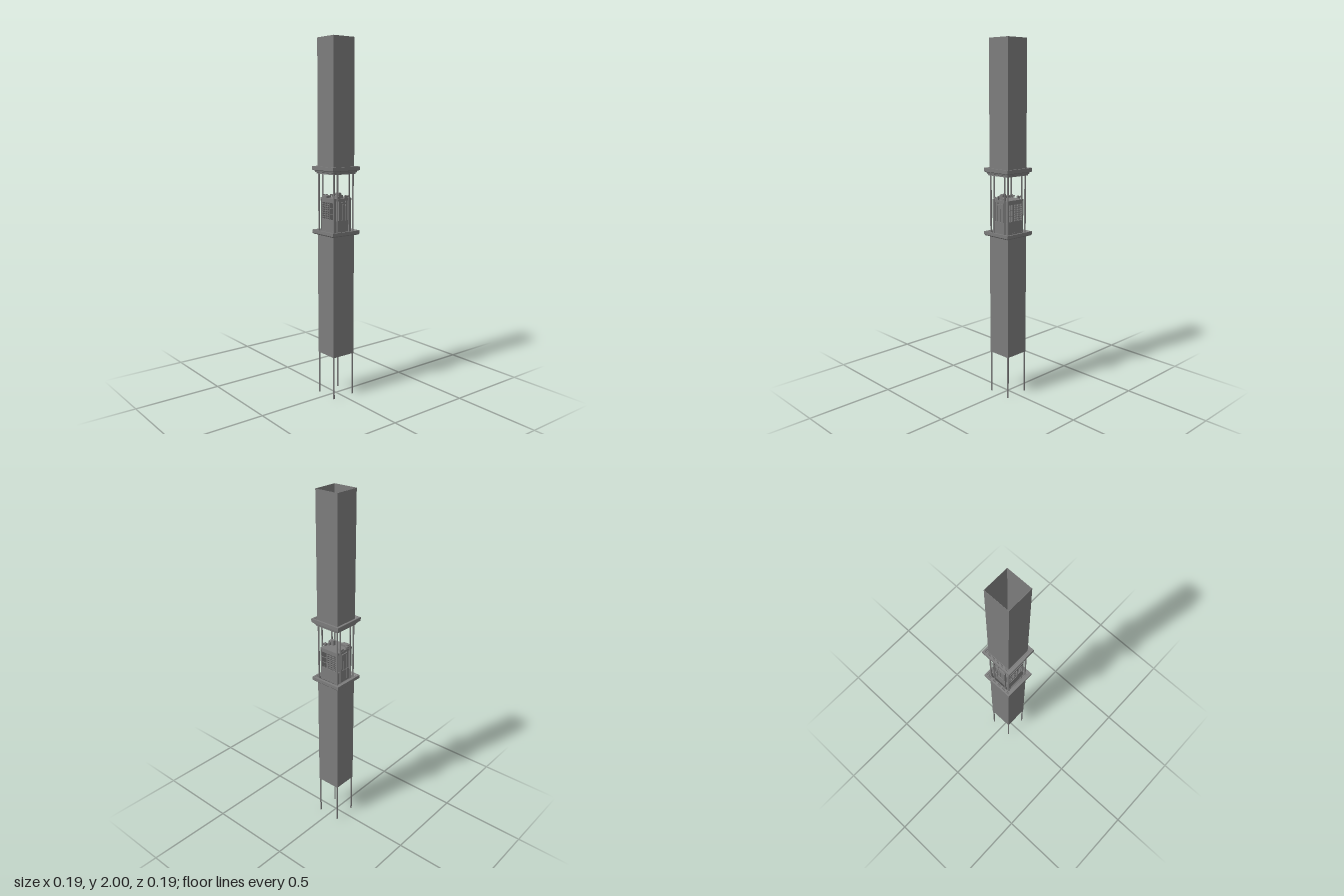
import * as THREE from 'three';

const steel = new THREE.MeshStandardMaterial({ color: 0x7c7c7c, side: THREE.DoubleSide });
steel.name = 'grey steel';

function add(parent, name, geometry, x = 0, y = 0, z = 0) {
  const mesh = new THREE.Mesh(geometry, steel);
  mesh.name = name;
  mesh.position.set(x, y, z);
  parent.add(mesh);
  return mesh;
}

// Box given by its minimum and maximum along each axis
function block(parent, name, x0, x1, y0, y1, z0, z1) {
  return add(parent, name, new THREE.BoxGeometry(x1 - x0, y1 - y0, z1 - z0),
    (x0 + x1) / 2, (y0 + y1) / 2, (z0 + z1) / 2);
}

// Square ring swept from a [half width, height] profile
function squareSweep(profile) {
  const pts = profile.map(([r, y]) => new THREE.Vector2(r * Math.SQRT2, y));
  const g = new THREE.LatheGeometry(pts, 4, Math.PI / 4).toNonIndexed();
  g.computeVertexNormals();
  return g;
}

// Window of evenly spaced bars in a side wall
function lattice(parent, name, x, z0, z1, y0, y1, cols, rows, t) {
  for (let i = 0; i <= cols; i++) {
    const z = z0 + (z1 - z0) * i / cols;
    block(parent, name, x - t, x + t, y0, y1, z - t, z + t);
  }
  for (let j = 0; j <= rows; j++) {
    const y = y0 + (y1 - y0) * j / rows;
    block(parent, name, x - t, x + t, y - t, y + t, z0, z1);
  }
}

function buildCab() {
  const cab = new THREE.Group();
  cab.name = 'cab';
  const h = 0.06;
  block(cab, 'cabFloor', -h, h, 0.945, 0.957, -h, h);
  block(cab, 'cabRoof', -h, h, 1.128, 1.138, -h, h);

  // Corner posts
  for (const sx of [-1, 1]) for (const sz of [-1, 1]) {
    add(cab, 'cabPost', new THREE.BoxGeometry(0.008, 0.18, 0.008), sx * 0.056, 1.045, sz * 0.056);
  }

  // Front and back walls with recessed panels and a central door
  for (const s of [-1, 1]) {
    add(cab, 'endWall', new THREE.BoxGeometry(0.11, 0.18, 0.004), 0, 1.045, s * 0.052);
    add(cab, 'wallHeader', new THREE.BoxGeometry(0.12, 0.012, 0.01), 0, 1.13, s * 0.057);
    add(cab, 'wallBase', new THREE.BoxGeometry(0.11, 0.06, 0.006), 0, 0.985, s * 0.057);
    add(cab, 'doorLintel', new THREE.BoxGeometry(0.05, 0.008, 0.008), 0, 1.11, s * 0.057);
    for (const x of [-0.024, 0.024]) {
      add(cab, 'doorJamb', new THREE.BoxGeometry(0.006, 0.17, 0.008), x, 1.04, s * 0.057);
    }
    for (const x of [-0.011, 0.011]) {
      add(cab, 'doorLeaf', new THREE.BoxGeometry(0.019, 0.15, 0.004), x, 1.03, s * 0.055);
    }
    for (const x of [-0.04, 0.04]) {
      add(cab, 'panelBar', new THREE.BoxGeometry(0.003, 0.11, 0.005), x, 1.07, s * 0.055);
    }
  }

  // Side walls: solid base, open window and dense grille
  for (const s of [-1, 1]) {
    const x = s * 0.056;
    block(cab, 'sideBase', x - 0.003, x + 0.003, 0.955, 1.02, -h, h);
    block(cab, 'sideHeader', x - 0.003, x + 0.003, 1.115, 1.13, -h, h);
    block(cab, 'sidePost', x - 0.003, x + 0.003, 1.0, 1.13, 0.012, 0.018);
    lattice(cab, 'windowBar', x, 0.02, 0.056, 1.02, 1.115, 2, 3, 0.0012);
    lattice(cab, 'grilleBar', x, -0.056, 0.012, 1.02, 1.115, 6, 8, 0.0016);
  }

  // Roof equipment
  block(cab, 'controlBox', -0.057, -0.028, 1.138, 1.15, -0.053, -0.01);
  block(cab, 'crosshead', -0.031, 0.014, 1.138, 1.155, 0.037, 0.046);
  block(cab, 'hitchBlock', -0.016, 0.001, 1.138, 1.168, 0.018, 0.04);
  const sheave = add(cab, 'sheave', new THREE.CylinderGeometry(0.012, 0.012, 0.008, 16), -0.008, 1.156, 0.042);
  sheave.rotation.x = Math.PI / 2;

  // Guide shoes clasping the rails
  for (const sx of [-1, 1]) for (const sz of [-1, 1]) {
    add(cab, 'shoeBase', new THREE.BoxGeometry(0.018, 0.012, 0.01), sx * 0.025, 1.144, sz * 0.055);
    add(cab, 'shoeArm', new THREE.BoxGeometry(0.03, 0.008, 0.004), sx * 0.026, 1.146, sz * 0.064);
    add(cab, 'shoeFoot', new THREE.BoxGeometry(0.008, 0.012, 0.008), sx * 0.028, 1.148, sz * 0.05);
    const roller = add(cab, 'guideRoller', new THREE.CylinderGeometry(0.004, 0.004, 0.006, 10),
      sx * 0.034, 1.15, sz * 0.064);
    roller.rotation.z = Math.PI / 2;
  }
  return cab;
}

export function createModel() {
  const model = new THREE.Group();
  model.name = 'elevatorShaft';
  const w = 0.0715, t = 0.0705;

  // Open square shafts with thin walls
  for (const [name, y0, y1] of [['lowerShaft', 0.243, 0.94], ['upperShaft', 1.29, 2]]) {
    add(model, name, squareSweep([[t, y0], [w, y0], [w, y1], [t, y1], [t, y0]]));
  }

  // Stepped collars around the opening
  add(model, 'lowerCollar', squareSweep([
    [w, 0.932], [0.088, 0.932], [0.094, 0.938], [0.094, 0.956], [0.084, 0.956],
    [0.082, 0.953], [0.077, 0.953], [0.075, 0.95], [t, 0.95], [w, 0.932]]));
  add(model, 'upperCollar', squareSweep([
    [t, 1.27], [0.077, 1.27], [0.077, 1.277], [0.082, 1.279], [0.084, 1.287], [0.094, 1.291],
    [0.094, 1.311], [0.084, 1.311], [0.082, 1.307], [0.077, 1.307], [0.075, 1.304], [t, 1.304], [t, 1.27]]));

  // Corner rods and slim guide rails
  for (const sx of [-1, 1]) for (const sz of [-1, 1]) {
    add(model, 'cornerRod', new THREE.CylinderGeometry(0.0048, 0.0048, 1.3, 12), sx * 0.0667, 0.65, sz * 0.0667);
    add(model, 'guideRail', new THREE.BoxGeometry(0.005, 1.057, 0.005), sx * 0.04, 0.7715, sz * 0.0655);
    add(model, 'railFlange', new THREE.BoxGeometry(0.002, 1.057, 0.007), sx * 0.0425, 0.7715, sz * 0.0655);
  }

  model.add(buildCab());
  return model;
}
